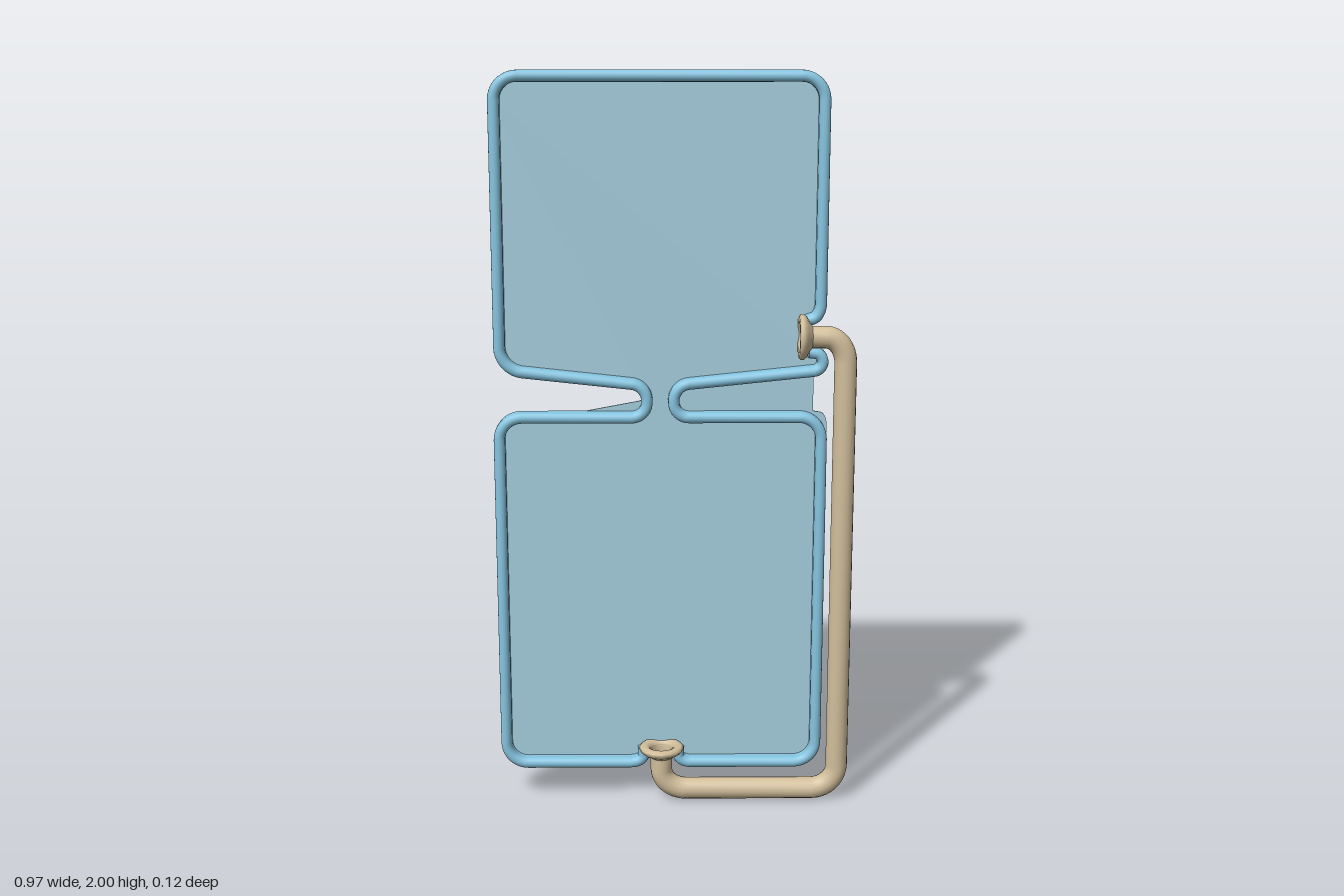
import * as THREE from 'three';

const rimMat = new THREE.MeshStandardMaterial({ color: 0x87c5e0, side: THREE.DoubleSide });
const plateMat = new THREE.MeshStandardMaterial({ color: 0xa6cfdf });
const pipeMat = new THREE.MeshStandardMaterial({ color: 0xd2bf9c, side: THREE.DoubleSide });

// Polyline of [x, y, trim] corners; each corner with a trim distance becomes a smooth bend.
function rounded(corners, closed = false) {
  const out = [], n = corners.length;
  const at = i => { const c = corners[(i + n) % n]; return new THREE.Vector2(c[0], c[1]); };
  for (let i = 0; i < n; i++) {
    const p = at(i), r = corners[i][2] || 0;
    if (!r || (!closed && (i === 0 || i === n - 1))) { out.push(p); continue; }
    const a = at(i - 1), b = at(i + 1);
    const s = p.clone().lerp(a, Math.min(0.49, r / p.distanceTo(a)));
    const e = p.clone().lerp(b, Math.min(0.49, r / p.distanceTo(b)));
    const bend = new THREE.CubicBezierCurve(s, s.clone().lerp(p, 0.55), e.clone().lerp(p, 0.55), e);
    out.push(...bend.getPoints(10));
  }
  return out;
}

// Sweep a counter-clockwise (side, z) section along a path in the xy plane.
function sweep(path, section, capped) {
  const pos = [], index = [], m = section.length, last = path.length - 1;
  const zMid = section.reduce((sum, s) => sum + s[1], 0) / m;
  const ring = (i, scale) => {
    const t = path[Math.min(i + 1, last)].clone().sub(path[Math.max(i - 1, 0)]).normalize();
    for (const [u, z] of section) {
      pos.push(path[i].x + t.y * u * scale, path[i].y - t.x * u * scale, zMid + (z - zMid) * scale);
    }
  };
  if (capped) { ring(0, 0); ring(0, 1); }
  path.forEach((_, i) => ring(i, 1));
  if (capped) { ring(last, 1); ring(last, 0); }
  const rings = pos.length / 3 / m;
  for (let i = 0; i < rings - 1; i++) {
    for (let j = 0; j < m; j++) {
      const k = (j + 1) % m, a = i * m + j, b = i * m + k;
      index.push(a, a + m, b, b, a + m, b + m);
    }
  }
  const geo = new THREE.BufferGeometry();
  geo.setAttribute('position', new THREE.Float32BufferAttribute(pos, 3));
  geo.setIndex(index);
  geo.computeVertexNormals();
  return geo;
}

export function createModel() {
  const model = new THREE.Group();
  model.name = 'framedPanel';
  const add = (name, geo, mat) => {
    const mesh = new THREE.Mesh(geo, mat);
    mesh.name = name;
    model.add(mesh);
    return mesh;
  };

  // Thin back plate, notched at the waist and beside both pipe ends
  const outline = rounded([
    [-0.48, 2, 0.075], [0.4, 2, 0.075], [0.4, 1.36, 0.035], [0.345, 1.345], [0.345, 1.28],
    [0.407, 1.275, 0.03], [0.407, 1.215, 0.03], [0.37, 1.208], [0.37, 1.106],
    [0.407, 1.1, 0.03], [0.407, 0.087, 0.075], [-0.005, 0.087, 0.03], [-0.015, 0.14],
    [-0.065, 0.14], [-0.075, 0.087, 0.03], [-0.485, 0.087, 0.075], [-0.485, 1.107, 0.075],
    [-0.24, 1.107], [-0.085, 1.136, 0.012], [-0.08, 1.162, 0.012], [-0.48, 1.206, 0.075],
  ], true);
  const plateGeo = new THREE.ExtrudeGeometry(new THREE.Shape(outline), { depth: 0.005, bevelEnabled: false });
  add('backPlate', plateGeo.translate(0, 0, -0.041), plateMat);

  // Raised rim: straight walls with a rounded front
  const w = 0.015, back = -0.04;
  const rimSection = [[w, back]];
  for (let i = 0; i <= 8; i++) {
    const a = Math.PI * i / 8;
    rimSection.push([w * Math.cos(a), -0.018 + w * Math.sin(a)]);
  }
  rimSection.push([-w, back], [-w, back], [w, back]);
  const leftRim = rounded([
    [-0.088, 0.145], [-0.088, 0.102, 0.035], [-0.47, 0.102, 0.06], [-0.47, 1.092, 0.06],
    [-0.075, 1.092, 0.04], [-0.075, 1.179, 0.04], [-0.465, 1.222, 0.06], [-0.465, 1.985, 0.06],
    [0.385, 1.985, 0.06], [0.385, 1.365, 0.035], [0.345, 1.352],
  ]);
  const rightRim = rounded([
    [0.355, 1.268], [0.392, 1.264, 0.022], [0.392, 1.22, 0.022], [-0.003, 1.179, 0.04],
    [-0.003, 1.092, 0.04], [0.392, 1.092, 0.06], [0.392, 0.102, 0.06], [0.01, 0.102, 0.035],
    [0.01, 0.145],
  ]);
  add('upperRim', sweep(leftRim, rimSection, true), rimMat);
  add('lowerRim', sweep(rightRim, rimSection, true), rimMat);

  // Hollow pipe running round the side, open at both ends
  const pipeSection = [];
  for (let i = 0; i < 16; i++) {
    const a = 2 * Math.PI * i / 16;
    pipeSection.push([0.03 * Math.cos(a), 0.03 * Math.sin(a)]);
  }
  const pipePath = rounded([
    [-0.038, 0.15], [-0.038, 0.031, 0.07], [0.451, 0.031, 0.07], [0.451, 1.313, 0.07], [0.34, 1.313],
  ]);
  add('pipe', sweep(pipePath, pipeSection, false), pipeMat);

  // Flared lips at the pipe mouths
  const lip = [[0.03, -0.026], [0.038, -0.02], [0.054, -0.011], [0.061, -0.003], [0.061, 0.004],
    [0.055, 0.009], [0.042, 0.009], [0.033, 0.004], [0.029, -0.006], [0.029, -0.026]];
  const lipGeo = new THREE.LatheGeometry(lip.map(p => new THREE.Vector2(...p)), 16);
  add('lowerFlange', lipGeo, pipeMat).position.set(-0.038, 0.152, 0);
  const upper = add('upperFlange', lipGeo, pipeMat);
  upper.position.set(0.335, 1.313, 0);
  upper.rotation.z = Math.PI / 2;

  return model;
}
